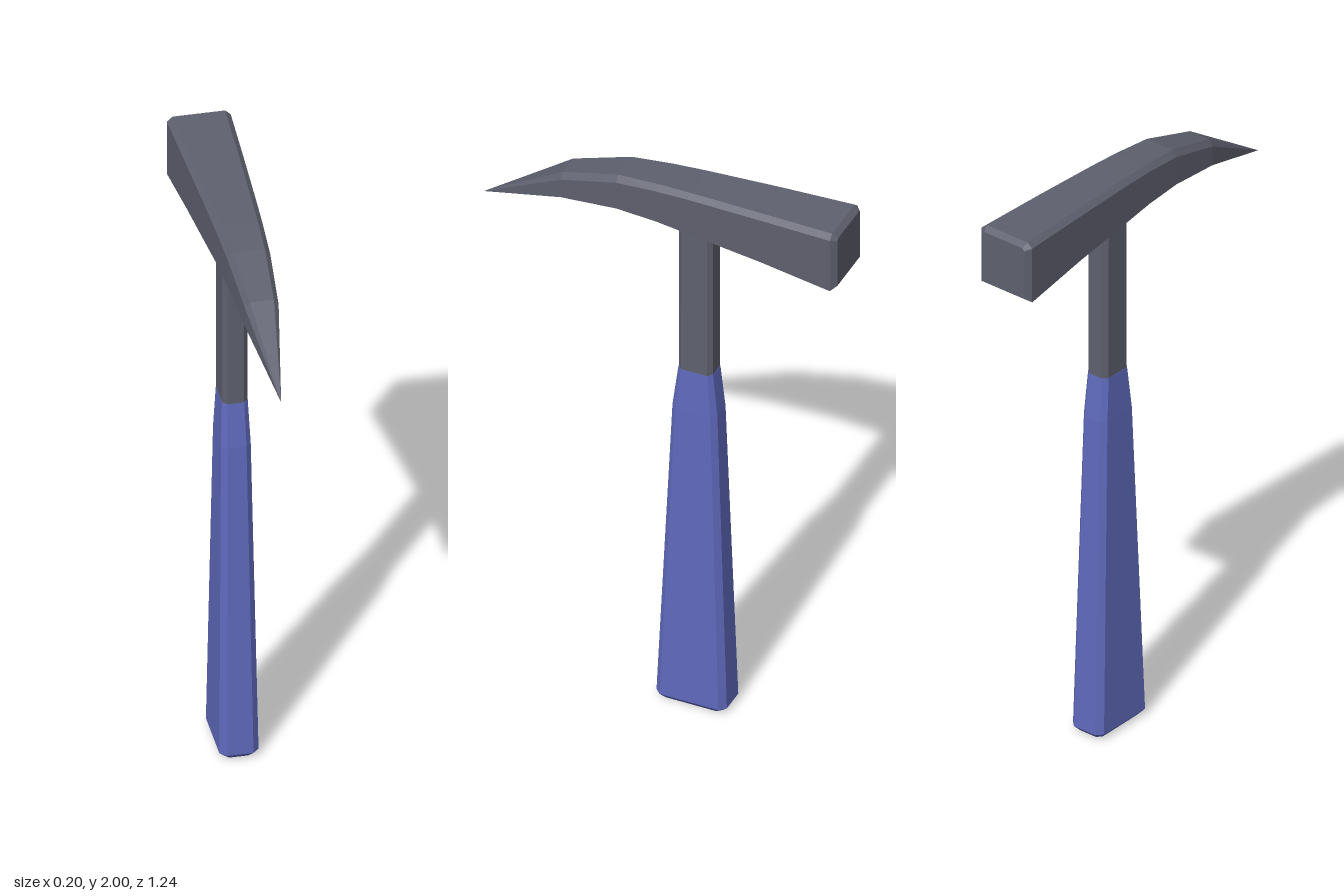
import * as THREE from 'three';

const steel = new THREE.MeshStandardMaterial({ color: 0x5e606e });
steel.name = 'steel grey';
const grip = new THREE.MeshStandardMaterial({ color: 0x5f6abc });
grip.name = 'grip blue';

// Skins a list of closed rings with flat faces and caps both ends.
function loft(name, rings, material) {
  const pos = [];
  const tri = (a, b, c) => {
    const area = b.clone().sub(a).cross(c.clone().sub(a)).length();
    if (area > 1e-8) for (const p of [a, b, c]) pos.push(p.x, p.y, p.z);
  };
  const n = rings[0].length;
  for (let r = 0; r < rings.length - 1; r++) {
    for (let i = 0; i < n; i++) {
      const j = (i + 1) % n;
      tri(rings[r][i], rings[r][j], rings[r + 1][j]);
      tri(rings[r][i], rings[r + 1][j], rings[r + 1][i]);
    }
  }
  const first = rings[0], last = rings[rings.length - 1];
  for (let i = 1; i < n - 1; i++) {
    tri(first[0], first[i + 1], first[i]);
    tri(last[0], last[i], last[i + 1]);
  }
  const geometry = new THREE.BufferGeometry();
  geometry.setAttribute('position', new THREE.Float32BufferAttribute(pos, 3));
  geometry.computeVertexNormals();
  const mesh = new THREE.Mesh(geometry, material);
  mesh.name = name;
  return mesh;
}

// Level ring: a rectangle with cut corners, from half width, z range and cut.
function handleRing([y, w, front, back, c]) {
  const h = (front - back) / 2, mid = (front + back) / 2;
  return [[w, -h + c], [w, h - c], [w - c, h], [c - w, h], [-w, h - c], [-w, c - h], [c - w, -h], [w - c, -h]]
    .reverse().map(([x, z]) => new THREE.Vector3(x, y, mid + z));
}

// Upright ring across the head: flat underside, bevelled upper edges.
function headRing([z, w, bottom, top, cx, cy]) {
  return [[w, bottom], [w, top - cy], [w - cx, top], [cx - w, top], [-w, top - cy], [-w, bottom]]
    .map(([x, y]) => new THREE.Vector3(x, y, z));
}

export function createModel() {
  const group = new THREE.Group();
  group.name = 'pickHammer';

  // Tapered grip with a bevelled foot
  group.add(loft('grip', [
    [0, 0.045, -0.005, -0.207, 0.015],
    [0.02, 0.062, 0.014, -0.226, 0.02],
    [1.13, 0.047, -0.035, -0.188, 0.017],
    [1.28, 0.041, -0.054, -0.172, 0.014],
  ].map(handleRing), grip));

  // Steel shaft, flaring slightly where it meets the head
  group.add(loft('shaft', [
    [1.27, 0.04, -0.055, -0.171, 0.014],
    [1.83, 0.04, -0.056, -0.171, 0.014],
    [1.86, 0.046, -0.046, -0.181, 0.014],
  ].map(handleRing), steel));

  // Head from the square hammer face to the curved pick point
  group.add(loft('head', [
    [-0.622, 0.084, 1.805, 1.985, 0.008, 0.008],
    [-0.604, 0.101, 1.79, 2.0, 0.018, 0.016],
    [-0.36, 0.091, 1.82, 1.996, 0.017, 0.016],
    [-0.11, 0.08, 1.842, 1.99, 0.017, 0.016],
    [0.0, 0.075, 1.852, 1.985, 0.017, 0.017],
    [0.14, 0.068, 1.854, 1.973, 0.017, 0.02],
    [0.335, 0.053, 1.826, 1.914, 0.015, 0.02],
    [0.622, 0, 1.724, 1.724, 0, 0],
  ].map(headRing), steel));

  return group;
}
